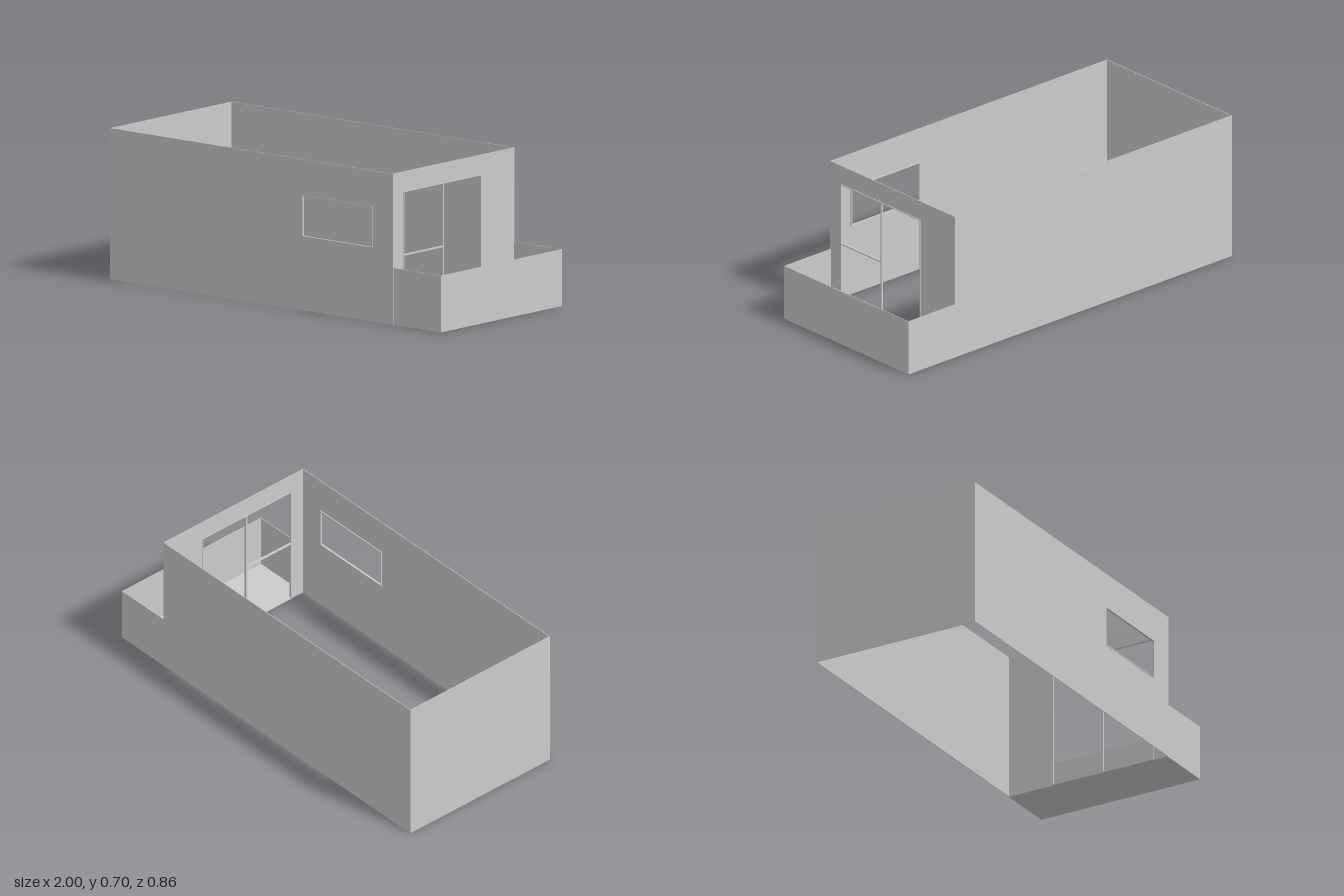
import * as THREE from 'three';

const T = 0.003; // wall thickness
const material = new THREE.MeshStandardMaterial({ color: 0xcccccc, side: THREE.DoubleSide });

// Rectangle outline with slightly rounded corners (r = 0 gives sharp ones)
function rect(Kind, [x0, y0, x1, y1], r = 0) {
  const p = new Kind();
  if (!r) {
    return p.moveTo(x0, y0).lineTo(x1, y0).lineTo(x1, y1).lineTo(x0, y1).closePath();
  }
  p.moveTo(x0 + r, y0).lineTo(x1 - r, y0).quadraticCurveTo(x1, y0, x1, y0 + r);
  p.lineTo(x1, y1 - r).quadraticCurveTo(x1, y1, x1 - r, y1);
  p.lineTo(x0 + r, y1).quadraticCurveTo(x0, y1, x0, y1 - r);
  p.lineTo(x0, y0 + r).quadraticCurveTo(x0, y0, x0 + r, y0);
  return p;
}

// Upright panel with openings, extruded from z = 0 to z = depth
function panel(name, outline, holes, depth, r = 0) {
  const shape = rect(THREE.Shape, outline);
  holes.forEach((h) => shape.holes.push(rect(THREE.Path, h, r)));
  const geometry = new THREE.ExtrudeGeometry(shape, { depth, bevelEnabled: false, curveSegments: 3 });
  const mesh = new THREE.Mesh(geometry, material);
  mesh.name = name;
  return mesh;
}

// Axis-aligned slab between two corners
function slab(name, a, b) {
  const mesh = new THREE.Mesh(new THREE.BoxGeometry(b[0] - a[0], b[1] - a[1], b[2] - a[2]), material);
  mesh.position.set((a[0] + b[0]) / 2, (a[1] + b[1]) / 2, (a[2] + b[2]) / 2);
  mesh.name = name;
  return mesh;
}

export function createModel() {
  const group = new THREE.Group();
  group.name = 'openRoom';
  const Z = 0.427, H = 0.705, X = 0.712, P = 0.265;

  // Front wall with a wide window and its slim frame
  const win = [0.162, 0.342, 0.588, 0.538];
  const front = panel('frontWall', [-1, 0, X, H], [win], T);
  front.position.z = Z - T;
  const frame = panel('frontWindowFrame', win, [[0.167, 0.347, 0.583, 0.533]], 0.01, 0.005);
  frame.position.z = Z - 0.008;
  group.add(front, frame);

  // Plain back and end walls
  group.add(slab('backWall', [-1, 0, -Z], [X, H, -Z + T]));
  group.add(slab('endWall', [-1, 0, -Z + T], [-1 + T, H, Z - T]));

  // Terrace wall: a doorway beside a tall window over a low panel (local x runs along -z)
  const opening = [-0.352, 0, 0.192, 0.613];
  const panes = [
    [-0.348, 0.318, -0.08, 0.609],
    [-0.348, 0.006, -0.08, 0.312],
    [-0.073, 0.006, 0.188, 0.609],
  ];
  // the opening reaches the ground, so the wall is made of two jambs and a lintel
  const terraceWall = new THREE.Group();
  terraceWall.name = 'terraceWall';
  terraceWall.add(
    panel('jamb', [-Z + T, 0, opening[0], H], [], T),
    panel('jamb', [opening[2], 0, Z - T, H], [], T),
    panel('lintel', [opening[0], opening[3], opening[2], H], [], T),
  );
  terraceWall.position.x = X - T;
  const doorFrame = panel('doorAndWindowFrame', opening, panes, 0.01, 0.004);
  doorFrame.position.x = X - 0.006;
  [terraceWall, doorFrame].forEach((part) => {
    part.rotation.y = Math.PI / 2;
    group.add(part);
  });

  // Terrace: floor with a low parapet on three sides
  const zf = Z - 0.003;
  group.add(slab('terraceFloor', [X, 0, -Z], [1, T, zf]));
  group.add(slab('parapetFront', [X, T, zf - T], [1 - T, P, zf]));
  group.add(slab('parapetBack', [X, T, -Z], [1 - T, P, -Z + T]));
  group.add(slab('parapetEnd', [1 - T, T, -Z], [1, P, zf]));

  return group;
}
